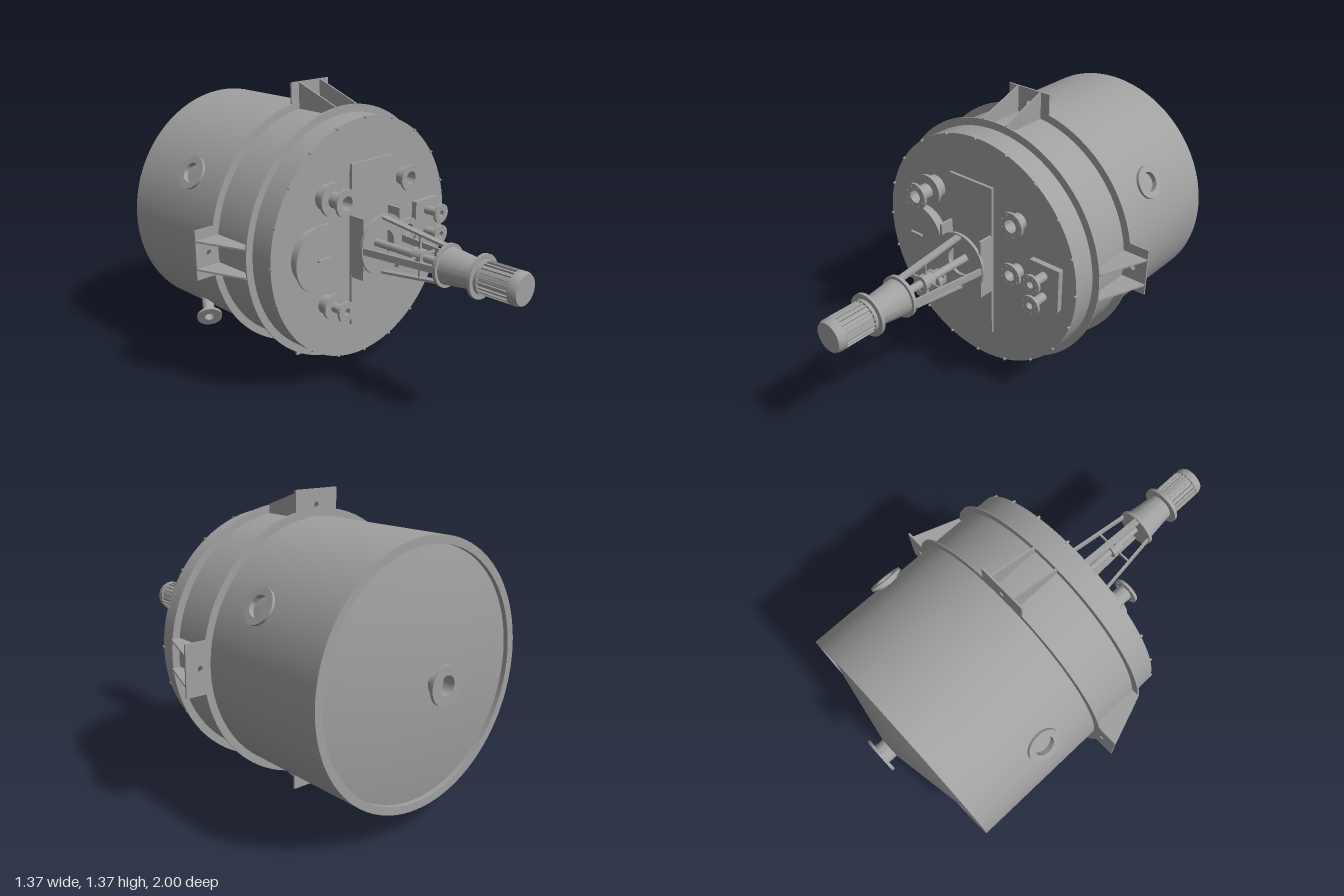
import * as THREE from 'three';
import { toCreasedNormals } from 'three/addons/utils/BufferGeometryUtils.js';

const steel = new THREE.MeshStandardMaterial({ color: 0xa0a0a0 });
steel.name = 'steel grey';
const Z = new THREE.Vector3(0, 0, 1);

function add(parent, name, geometry, x = 0, y = 0, z = 0) {
  const mesh = new THREE.Mesh(geometry, steel);
  mesh.name = name;
  mesh.position.set(x, y, z);
  parent.add(mesh);
  return mesh;
}

// Turned part around the z axis, profile given as [radius, z] from back to front
function turned(profile, sides = 40) {
  const points = profile.map(([r, z]) => new THREE.Vector2(r, z));
  const geo = new THREE.LatheGeometry(points, sides);
  geo.rotateX(Math.PI / 2);
  return toCreasedNormals(geo, 0.5);
}

const disc = (r, z0, z1, sides = 40) => turned([[0, z0], [r, z0], [r, z1], [0, z1]], sides);
const annulus = (r0, r1, z0, z1, sides = 96) =>
  turned([[r0, z0], [r1, z0], [r1, z1], [r0, z1], [r0, z0]], sides);

// Flanged pipe stub from a base point along a direction
function nozzle(parent, name, base, dir, { pipe, flange, bore, length, thick = 0.013, bolts = 0 }) {
  const group = new THREE.Group();
  group.name = name;
  group.position.set(...base);
  group.quaternion.setFromUnitVectors(Z, new THREE.Vector3(...dir).normalize());
  parent.add(group);
  const f = length - thick;
  add(group, 'pipeAndFlange', turned([[pipe, 0], [pipe, f], [flange, f], [flange, length],
    [bore, length], [bore, 0.005], [0, 0.005]]));
  const mid = bore + (flange - bore) * 0.62;
  for (let i = 0; i < bolts; i++) {
    const a = (i + 0.5) * Math.PI * 2 / bolts;
    add(group, 'flangeBolt', disc(0.0035, f - 0.003, length + 0.003, 8), mid * Math.cos(a), mid * Math.sin(a));
  }
  return group;
}

// Rectangular bar between two points in the y-z plane
function beam(parent, name, y0, z0, y1, z1, width, thick) {
  const bar = add(parent, name, new THREE.BoxGeometry(width, thick, Math.hypot(y1 - y0, z1 - z0)),
    0, (y0 + y1) / 2, (z0 + z1) / 2);
  bar.rotation.x = -Math.atan2(y1 - y0, z1 - z0);
}

// Mounting lug: drilled plate with two tapered gussets, built at the top
function makeLug() {
  const lug = new THREE.Group();
  lug.name = 'mountingLug';
  const plate = new THREE.Shape();
  plate.moveTo(-0.115, 0.545).lineTo(0.115, 0.545).lineTo(0.115, 0.685).lineTo(-0.115, 0.685).closePath();
  plate.holes.push(new THREE.Path().absarc(0, 0.616, 0.012, 0, Math.PI * 2, true));
  add(lug, 'lugPlate', new THREE.ExtrudeGeometry(plate, { depth: 0.008, bevelEnabled: false }), 0, 0, -0.232);
  const side = new THREE.Shape();
  side.moveTo(-0.01, 0.555).lineTo(0.228, 0.555).lineTo(0.228, 0.685).lineTo(-0.01, 0.6).closePath();
  const gusset = new THREE.ExtrudeGeometry(side, { depth: 0.008, bevelEnabled: false });
  gusset.rotateY(Math.PI / 2);
  for (const x of [-0.065, 0.065]) add(lug, 'gusset', gusset, x - 0.004);
  return lug;
}

function makeDrive() {
  const drive = new THREE.Group();
  drive.name = 'drive';
  // Stand on the cover
  add(drive, 'standStub', disc(0.075, 0.125, 0.157));
  add(drive, 'coverPlate', new THREE.BoxGeometry(0.25, 0.76, 0.014), 0, 0, 0.164);
  for (const x of [-0.118, 0.118]) {
    add(drive, 'standSide', new THREE.BoxGeometry(0.012, 0.29, 0.075), x, 0, 0.204);
  }
  add(drive, 'standRing', annulus(0.068, 0.142, 0.236, 0.25, 48));
  // Four sloping legs with a cross brace
  for (let i = 0; i < 4; i++) {
    const leg = new THREE.Group();
    leg.name = 'driveLeg';
    leg.rotation.z = i * Math.PI / 2;
    beam(leg, 'legBar', 0.13, 0.248, 0.083, 0.615, 0.032, 0.011);
    drive.add(leg);
  }
  add(drive, 'braceAcross', new THREE.BoxGeometry(0.2, 0.012, 0.008), 0, 0, 0.462);
  add(drive, 'braceUpright', new THREE.BoxGeometry(0.012, 0.2, 0.008), 0, 0, 0.462);
  // Shaft and coupling
  add(drive, 'shaft', disc(0.018, 0.165, 0.62, 24));
  add(drive, 'coupling', disc(0.036, 0.433, 0.492, 24));
  // Tapered gearbox between two flanges
  add(drive, 'gearbox', turned([[0, 0.608], [0.097, 0.608], [0.097, 0.624], [0.083, 0.624],
    [0.064, 0.785], [0.097, 0.785], [0.097, 0.8], [0, 0.8]]));
  // Finned motor
  add(drive, 'motor', turned([[0, 0.8], [0.075, 0.8], [0.075, 0.815], [0.064, 0.815], [0.064, 0.96],
    [0.073, 0.96], [0.073, 0.985], [0.066, 1], [0, 1]]));
  for (let i = 0; i < 20; i++) {
    const a = i * Math.PI / 10;
    const fin = add(drive, 'coolingFin', new THREE.BoxGeometry(0.012, 0.006, 0.147),
      0.067 * Math.cos(a), 0.067 * Math.sin(a), 0.888);
    fin.rotation.z = a;
  }
  return drive;
}

export function createModel() {
  const root = new THREE.Group();
  root.name = 'processVessel';
  const vessel = new THREE.Group();
  vessel.name = 'vessel';
  vessel.position.y = 0.685;
  root.add(vessel);

  // Shell with a shallow conical rear end set inside the rim
  add(vessel, 'shell', turned([[0, -0.953], [0.53, -0.859], [0.53, -0.88], [0.565, -0.88],
    [0.565, 0.13], [0, 0.13]], 128));
  for (const z of [0.01, -0.228]) add(vessel, 'stiffenerRing', annulus(0.55, 0.6, z - 0.004, z + 0.004, 128));
  for (let i = 0; i < 4; i++) {
    const lug = makeLug();
    lug.rotation.z = i * Math.PI / 2;
    vessel.add(lug);
  }

  // Cover bolts
  for (let i = 0; i < 20; i++) {
    const a = i * Math.PI / 10;
    add(vessel, 'coverBolt', disc(0.006, 0.12, 0.139, 8), 0.562 * Math.sin(a), 0.562 * Math.cos(a));
  }

  // Rear outlet, three radial ports and the angled drain
  nozzle(vessel, 'rearOutlet', [0, 0, -0.93], [0, 0, -1],
    { pipe: 0.048, flange: 0.084, bore: 0.042, length: 0.07 });
  for (const deg of [30, 150, 270]) {
    const c = Math.cos(deg * Math.PI / 180), s = Math.sin(deg * Math.PI / 180);
    nozzle(vessel, 'sidePort', [c * 0.545, s * 0.545, -0.48], [c, s, 0],
      { pipe: 0.055, flange: 0.078, bore: 0.046, length: 0.043 });
  }
  const d = [-0.47, -0.47, 0.75];
  nozzle(vessel, 'drain', [-0.45 - d[0] * 0.16, -0.447 - d[1] * 0.16, -0.48 - d[2] * 0.16], d,
    { pipe: 0.028, flange: 0.06, bore: 0.023, length: 0.16 });

  // Cover nozzles: x, y, pipe, flange, bore, front z, raised pad radius
  const cover = [
    [-0.25, 0.25, 0.036, 0.062, 0.031, 0.267, 0.076],
    [-0.25, -0.248, 0.022, 0.048, 0.017, 0.267, 0.06],
    [0.248, 0.25, 0.04, 0.063, 0.031, 0.19, 0],
    [0.245, 0, 0.034, 0.057, 0.026, 0.19, 0],
    [0.41, 0.053, 0.021, 0.047, 0.016, 0.25, 0],
    [0.41, -0.053, 0.021, 0.047, 0.016, 0.25, 0],
  ];
  for (const [x, y, pipe, flange, bore, z, pad] of cover) {
    nozzle(vessel, 'coverNozzle', [x, y, 0.125], [0, 0, 1],
      { pipe, flange, bore, length: z - 0.125, bolts: 8 });
    if (pad) add(vessel, 'nozzlePad', annulus(bore, pad, 0.175, 0.19, 40), x, y);
    if (pad) add(vessel, 'nozzleNeck', annulus(bore, pad * 0.75, 0.125, 0.177, 40), x, y);
  }
  add(vessel, 'nozzleBlock', new THREE.BoxGeometry(0.16, 0.208, 0.03), 0.41, 0.002, 0.142);

  // Manhole with lid and handle
  add(vessel, 'manholeNeck', disc(0.128, 0.125, 0.186, 64), -0.323, 0);
  add(vessel, 'manholeLid', disc(0.155, 0.183, 0.194, 64), -0.323, 0);
  add(vessel, 'manholeHandle', new THREE.BoxGeometry(0.07, 0.009, 0.016), -0.323, 0, 0.2);

  vessel.add(makeDrive());
  return root;
}
